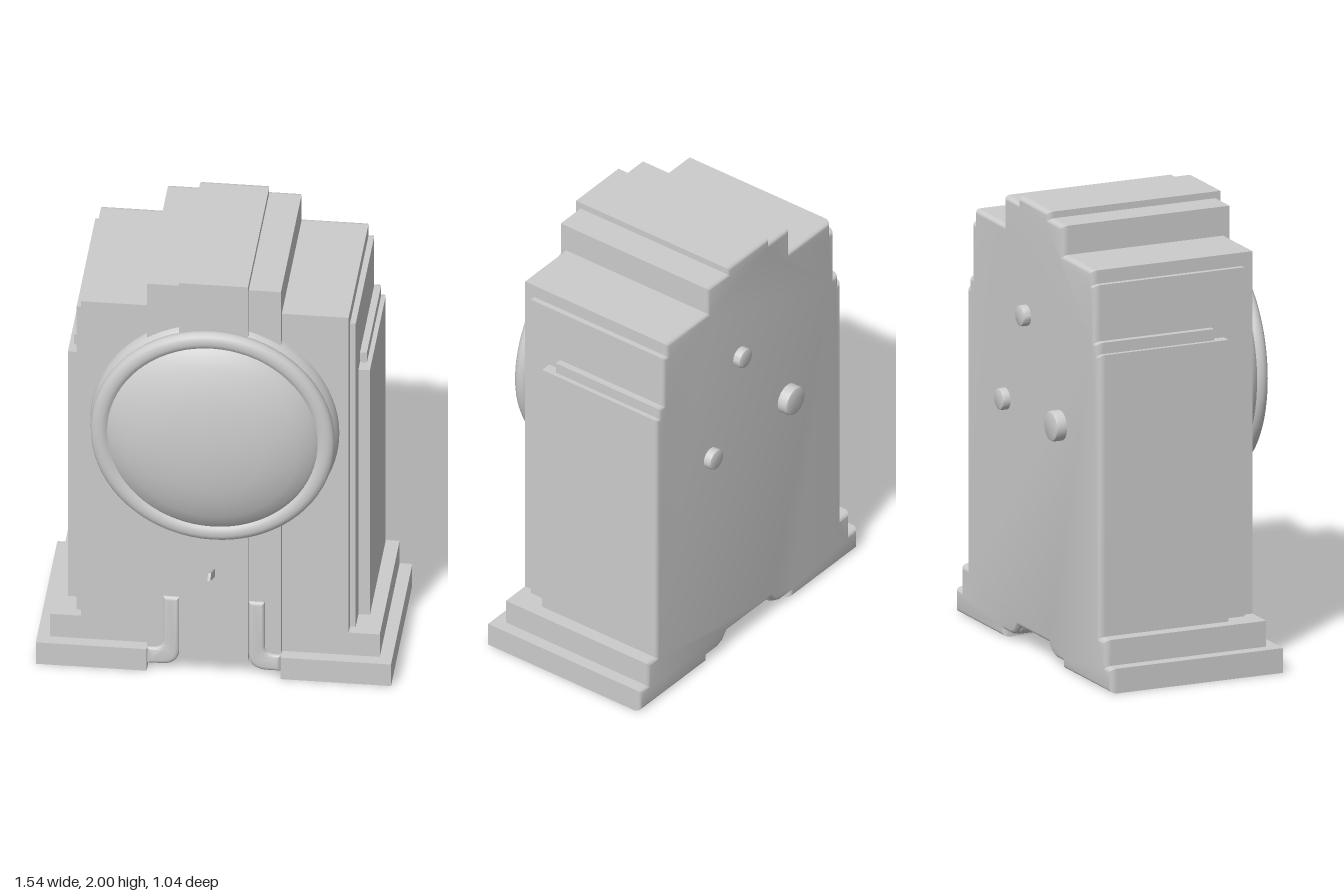
import * as THREE from 'three';
import { toCreasedNormals } from 'three/addons/utils/BufferGeometryUtils.js';

const BACK = -0.44; // where the stepped case meets the rounded back plate

export function createModel() {
  const clock = new THREE.Group();
  clock.name = 'mantelClock';
  const grey = new THREE.MeshStandardMaterial({ color: 0xcccccc });

  const add = (name, geometry) => {
    const mesh = new THREE.Mesh(geometry, grey);
    mesh.name = name;
    clock.add(mesh);
    return mesh;
  };
  // Box given by its limits, running from the back plate to zFront
  const block = (name, x0, x1, y0, y1, zFront) =>
    add(name, new THREE.BoxGeometry(x1 - x0, y1 - y0, zFront - BACK)
      .translate((x0 + x1) / 2, (y0 + y1) / 2, (zFront + BACK) / 2));
  // Turned part with its axis along z; profile pairs are [radius, z]
  const turned = (name, profile, x, y, segments, crease = 0.6) => {
    const points = profile.map(([r, z]) => new THREE.Vector2(r, z));
    const geometry = new THREE.LatheGeometry(points, segments).rotateX(Math.PI / 2).translate(x, y, 0);
    return add(name, toCreasedNormals(geometry, crease));
  };

  // Stepped case
  block('centrePanel', -0.15, 0.15, 0.08, 2, 0.355);
  block('innerPanel', -0.29, 0.29, 0.11, 1.97, 0.33);
  block('body', -0.58, 0.58, 0.11, 1.84, 0.3);
  block('upperPlinth', -0.715, 0.715, 0.11, 0.225, 0.3);

  for (const s of [1, -1]) {
    const side = s > 0 ? 'left' : 'right';
    const sideBlock = (name, xIn, xOut, y0, y1, z) =>
      block(side + name, Math.min(s * xIn, s * xOut), Math.max(s * xIn, s * xOut), y0, y1, z);
    sideBlock('SidePanel', 0.57, 0.605, 0.225, 1.78, 0.25);
    sideBlock('SideTrim', 0.59, 0.635, 1.47, 1.53, 0.09);
    sideBlock('OuterSidePanel', 0.59, 0.655, 0.225, 1.48, 0.15);
    sideBlock('Foot', 0.29, 0.77, 0, 0.11, 0.355);

    // Curved strip turning outward beneath the case
    const strip = new THREE.Shape();
    strip.moveTo(s * 0.15, 0.375);
    strip.lineTo(s * 0.15, 0.11);
    strip.quadraticCurveTo(s * 0.15, 0.03, s * 0.23, 0.03);
    strip.lineTo(s * 0.29, 0.03);
    strip.lineTo(s * 0.29, 0.11);
    strip.lineTo(s * 0.265, 0.11);
    strip.quadraticCurveTo(s * 0.22, 0.11, s * 0.22, 0.155);
    strip.lineTo(s * 0.22, 0.375);
    const stripGeometry = new THREE.ExtrudeGeometry(strip, {
      depth: 0.33 - BACK, curveSegments: 10,
      bevelThickness: 0.015, bevelSize: 0.02, bevelOffset: -0.02, bevelSegments: 4,
    }).translate(0, 0, BACK);
    add(side + 'CurvedStrip', toCreasedNormals(stripGeometry, 0.6));
  }

  // Back plate following the whole stepped outline, with rounded edges
  const half = [
    [0.15, 2], [0.15, 1.97], [0.29, 1.97], [0.29, 1.84], [0.58, 1.84], [0.58, 1.78],
    [0.605, 1.78], [0.605, 1.53], [0.635, 1.53], [0.635, 1.48], [0.655, 1.48], [0.655, 0.225],
    [0.715, 0.225], [0.715, 0.11], [0.77, 0.11], [0.77, 0], [0.29, 0], [0.29, 0.03],
    [0.22, 0.03], [0.18, 0.045], [0.15, 0.08],
  ];
  const outline = [...half, ...half.map(([x, y]) => [-x, y]).reverse()];
  const plate = new THREE.ExtrudeGeometry(
    new THREE.Shape(outline.map(([x, y]) => new THREE.Vector2(x, y))),
    { depth: 0.002, bevelThickness: 0.03, bevelSize: 0.02, bevelOffset: -0.02, bevelSegments: 5 },
  ).translate(0, 0, BACK);
  add('backPlate', toCreasedNormals(plate, 0.6));

  // Round dial: bezel and domed glass
  const dialY = 1.245;
  turned('bezel', [
    [0.54, 0.28], [0.54, 0.3], [0.535, 0.33], [0.518, 0.352], [0.525, 0.36], [0.53, 0.375],
    [0.528, 0.39], [0.518, 0.403], [0.5, 0.41], [0.48, 0.41], [0.465, 0.405], [0.45, 0.39],
  ], 0, dialY, 72, 0.9);
  turned('domedGlass', [
    [0.458, 0.395], [0.44, 0.412], [0.38, 0.442], [0.31, 0.467], [0.23, 0.487], [0.12, 0.5], [0, 0.505],
  ], 0, dialY, 72);

  // Small lever on the front
  const lever = add('lever', new THREE.BoxGeometry(0.013, 0.035, 0.2));
  lever.position.set(0, 0.558, 0.422);
  lever.rotation.x = -0.46;

  // Knobs on the back
  const knobs = [[-0.27, 1.08, 0.067, -0.52], [0.065, 1.49, 0.046, -0.507], [0.27, 1.07, 0.048, -0.507]];
  for (const [x, y, r, z] of knobs) {
    turned('backKnob', [
      [0, z], [r - 0.012, z], [r - 0.003, z + 0.004], [r, z + 0.013], [r, -0.46],
    ], x, y, 28);
  }

  return clock;
}
